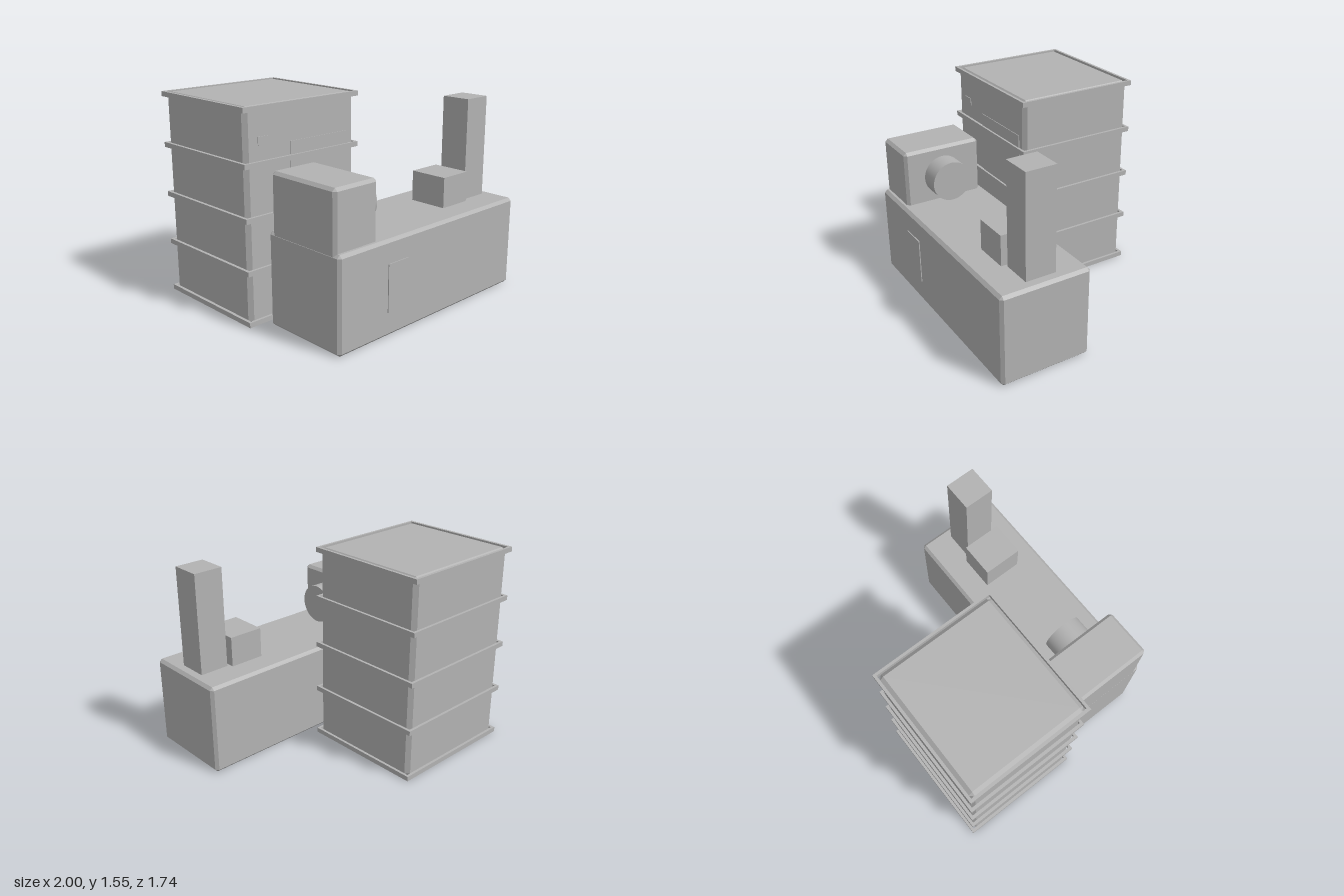
import * as THREE from 'three';
import { ConvexGeometry } from 'three/addons/geometries/ConvexGeometry.js';

export function createModel() {
  const model = new THREE.Group();
  const grey = new THREE.MeshStandardMaterial({ color: 0xb2b2b2 });
  grey.name = 'plain grey';

  const add = (name, geometry, parent = model) => {
    const mesh = new THREE.Mesh(geometry, grey);
    mesh.name = name;
    parent.add(mesh);
    return mesh;
  };

  // Plain box given by its limits on each axis
  const box = (name, [x0, x1], [y0, y1], [z0, z1]) =>
    add(name, new THREE.BoxGeometry(x1 - x0, y1 - y0, z1 - z0)
      .translate((x0 + x1) / 2, (y0 + y1) / 2, (z0 + z1) / 2));

  // Box with every edge bevelled by c: each corner becomes three points
  const bevelBox = (name, xs, ys, zs, c) => {
    const points = [];
    for (const i of [0, 1]) for (const j of [0, 1]) for (const k of [0, 1]) {
      const corner = [xs[i], ys[j], zs[k]];
      const inset = [i ? -c : c, j ? -c : c, k ? -c : c];
      for (let keep = 0; keep < 3; keep++) {
        points.push(new THREE.Vector3(...corner.map((v, a) => (a === keep ? v : v + inset[a]))));
      }
    }
    return add(name, new ConvexGeometry(points));
  };

  const rectangle = (PathType, [x0, x1], [z0, z1]) => new PathType([
    new THREE.Vector2(x0, -z0), new THREE.Vector2(x0, -z1),
    new THREE.Vector2(x1, -z1), new THREE.Vector2(x1, -z0),
  ]);

  // Tall square tower
  const towerX = [-0.977, 0.03], towerZ = [-0.847, 0.087];
  bevelBox('tower', towerX, [0.003, 1.55], towerZ, 0.03);

  // Hollow floor bands around the tower
  const bands = new THREE.Group();
  bands.name = 'floorBands';
  model.add(bands);
  const outline = rectangle(THREE.Shape, [-1, 0.05], [-0.868, 0.107]);
  outline.holes.push(rectangle(THREE.Path, towerX, towerZ));
  for (let i = 0; i < 5; i++) {
    const band = add('floorBand', new THREE.ExtrudeGeometry(outline, { depth: 0.037, bevelEnabled: false }), bands);
    band.rotation.x = -Math.PI / 2;
    band.position.y = i * 0.379;
  }

  // Thin raised panels on the tower front
  box('towerPanel', [-0.59, -0.04], [0.58, 1.27], [0.086, 0.092]);
  box('smallTowerPanel', [-0.87, -0.78], [1.28, 1.34], [0.086, 0.092]);

  // Long low block with a thin front panel
  bevelBox('longBlock', [-0.86, 1], [0, 0.7], [0.163, 0.861], 0.022);
  box('blockPanel', [-0.41, -0.21], [0.18, 0.53], [0.86, 0.868]);

  // Upper block, sunk slightly into the long block, with its round port
  bevelBox('upperBlock', [-0.86, -0.475], [0.66, 1.128], [0.203, 0.82], 0.022);
  add('roundPort', new THREE.CylinderGeometry(0.153, 0.153, 0.165, 64)
    .rotateZ(-Math.PI / 2).translate(-0.4025, 0.895, 0.513));

  // Stack and the small box beside it
  box('smallBox', [0.395, 0.667], [0.69, 0.932], [0.36, 0.664]);
  box('stack', [0.69, 0.92], [0.69, 1.476], [0.396, 0.628]);

  return model;
}
